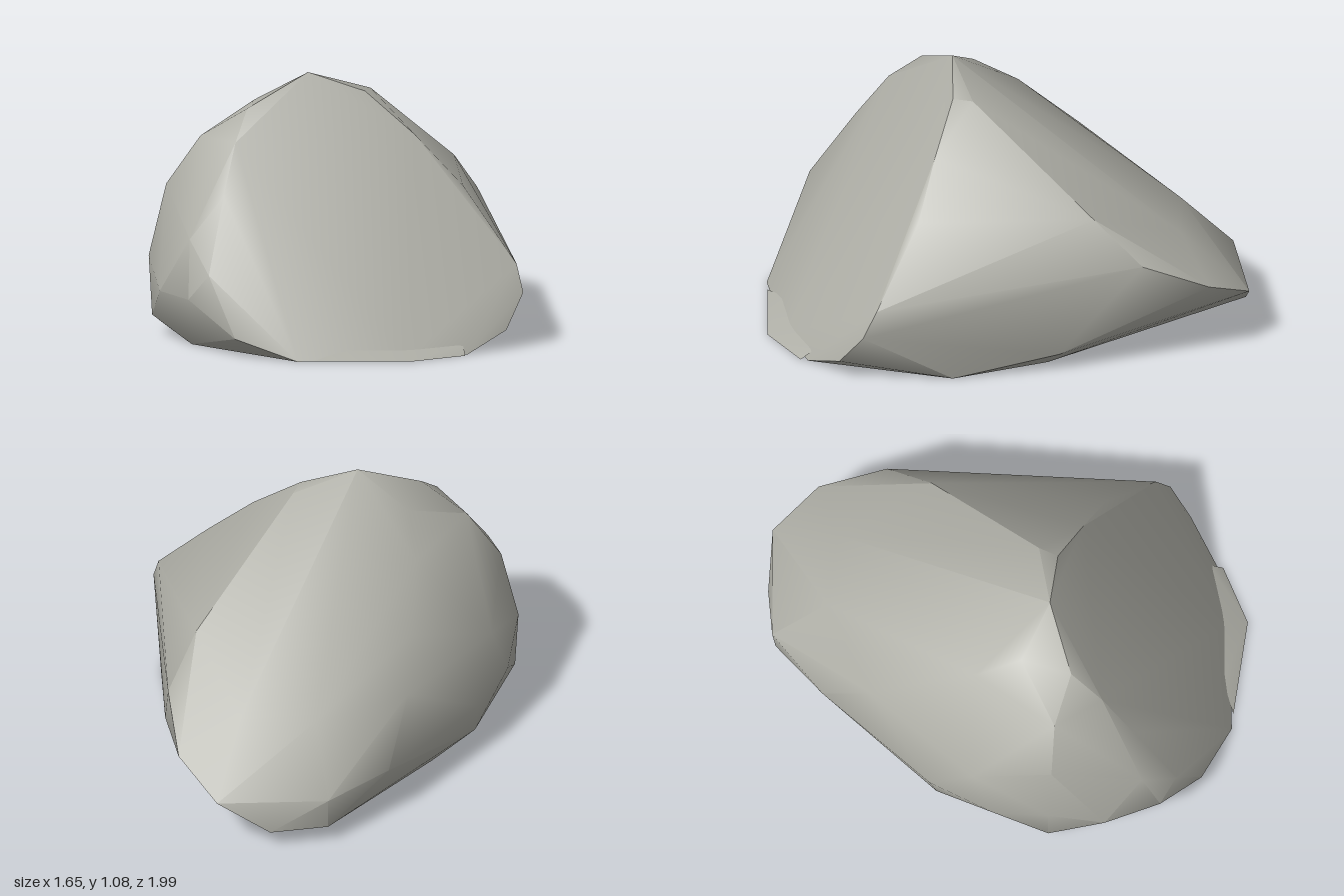
import * as THREE from 'three';
import { toCreasedNormals } from 'three/addons/utils/BufferGeometryUtils.js';
import { ConvexGeometry } from 'three/addons/geometries/ConvexGeometry.js';

// Horizontal cross-sections of the boulder: height, then [x, z] around the outline
const boulderSections = [
  // flat base
  { y: 0, outline: [[.77, .36], [.62, .58], [.3, .91], [-.3, .82], [-.55, .6], [-.71, .05],
    [-.69, -.4], [-.5, -.68], [.2, -.45], [.55, -.22]] },
  // low rim
  { y: .08, outline: [[.825, .16], [.04, .99], [-.58, .71], [-.77, .25], [-.78, -.67], [-.63, -.86], [.24, -.54]] },
  // widest waist
  { y: .22, outline: [[.825, .04], [-.2, .985], [-.42, .88], [-.71, .52], [-.8, .24],
    [-.83, -.35], [-.79, -.68], [-.46, -1]] },
  { y: .33, outline: [[.77, .01], [.48, -.3], [.19, -.59], [-.22, -.97], [-.1, .98], [-.59, .72]] },
  { y: .46, outline: [[-.24, .92], [-.72, .41], [-.755, -.15], [-.6, -.55], [-.35, -.73], [0, -.79]] },
  // shoulders
  { y: .63, outline: [[.49, 0], [-.16, .79], [-.53, .68], [-.64, 0], [-.5, -.25], [.04, -.57]] },
  { y: .83, outline: [[.29, .06], [-.2, .65], [-.42, .59], [-.49, .2], [-.35, .03]] },
  // crown
  { y: .95, outline: [[-.24, .51], [-.34, .32]] },
  { y: 1, outline: [[.08, .12], [.05, .04]] },
  { y: 1.08, outline: [[-.11, .26]] },
];

// Thin ledge left along the foot of the cleaved front face
const ledgeSections = [
  { y: 0, outline: [[.35, .87], [.68, .63], [.78, .39]] },
  { y: .04, outline: [[.42, .74], [.74, .35]] },
];

// Wrap sections in one skin; rounded sides are smooth, cleaved faces stay crisp
function stonePart(name, sections, material) {
  const points = sections.flatMap(({ y, outline }) =>
    outline.map(([x, z]) => new THREE.Vector3(x, y, z)));
  const mesh = new THREE.Mesh(toCreasedNormals(new ConvexGeometry(points), 0.7), material);
  mesh.name = name;
  return mesh;
}

export function createModel() {
  const group = new THREE.Group();
  group.name = 'rock';

  const stone = new THREE.MeshStandardMaterial({ color: 0xaeaea6 });
  stone.name = 'grey stone';

  group.add(stonePart('boulder', boulderSections, stone));
  group.add(stonePart('ledge', ledgeSections, stone));
  return group;
}
